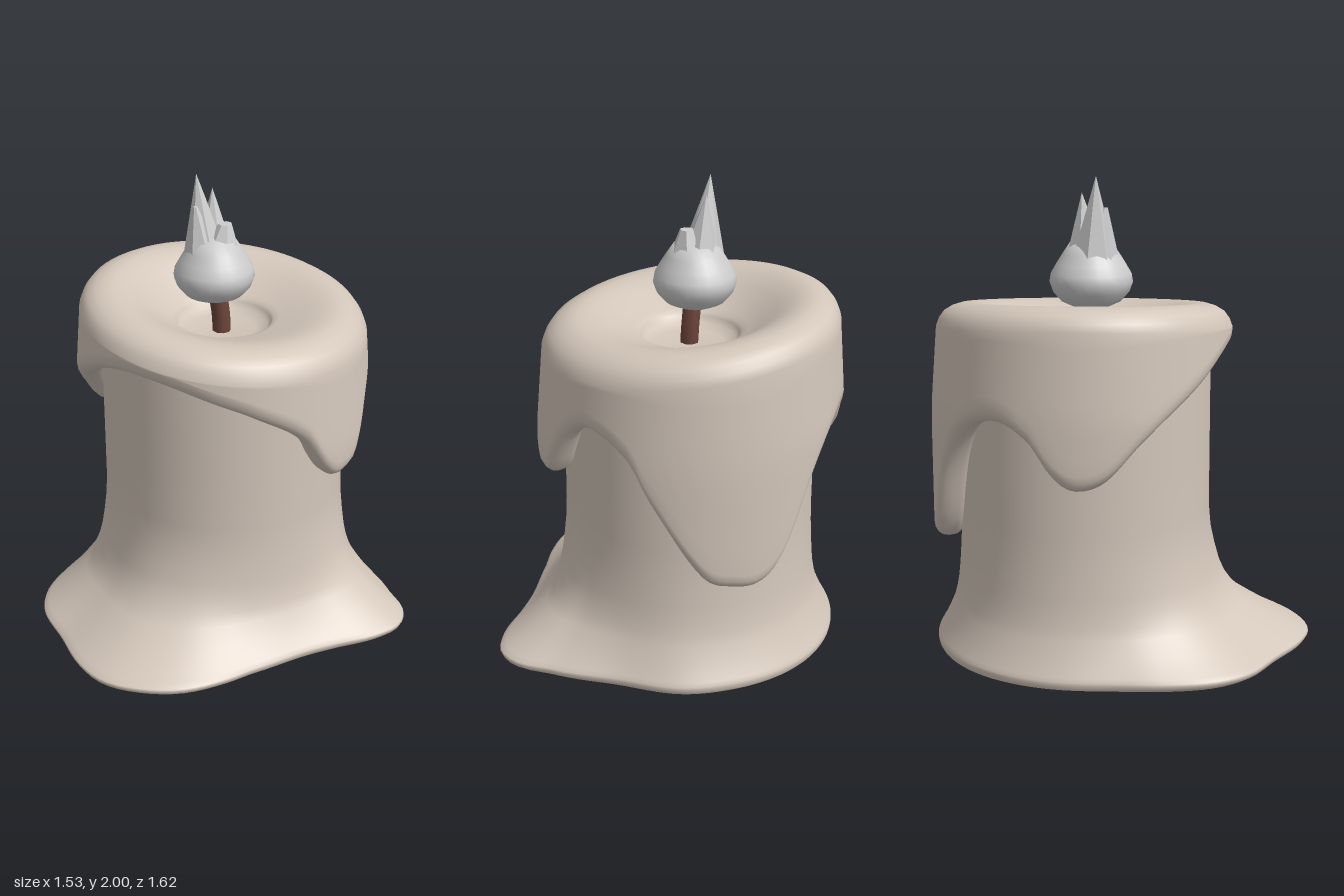
import * as THREE from 'three';

const CX = -0.12, CZ = -0.16; // candle axis
const SEG = 128;
const wax = new THREE.MeshStandardMaterial({ color: 0xd3c6ba, side: THREE.DoubleSide });
const wickMat = new THREE.MeshStandardMaterial({ color: 0x6b443a });
const flameMat = new THREE.MeshStandardMaterial({ color: 0xcccccc });
const flameFacets = new THREE.MeshStandardMaterial({ color: 0xcccccc, flatShading: true });

// Smooth periodic curve through [degrees, value] pairs (0 = +x, 90 = +z)
function around(keys) {
  const n = keys.length;
  const key = (i) => {
    const turn = Math.floor(i / n), k = keys[i - turn * n];
    return [k[0] + 360 * turn, k[1]];
  };
  const slope = (i) => {
    const a = key(i - 1), b = key(i + 1);
    return (b[1] - a[1]) / (b[0] - a[0]);
  };
  return (deg) => {
    let i = -1;
    while (key(i + 1)[0] <= deg) i++;
    const [d0, v0] = key(i), [d1, v1] = key(i + 1), w = d1 - d0, t = (deg - d0) / w;
    const t2 = t * t, t3 = t2 * t;
    return (2 * t3 - 3 * t2 + 1) * v0 + (t3 - 2 * t2 + t) * w * slope(i)
      + (3 * t2 - 2 * t3) * v1 + (t3 - t2) * w * slope(i + 1);
  };
}

// Closed loft about the candle axis; profile(deg) gives [radius, y] from top to bottom
function loft(profile) {
  const pos = [], idx = [];
  let rows = 0;
  for (let j = 0; j < SEG; j++) {
    const deg = (j / SEG) * 360, a = THREE.MathUtils.degToRad(deg);
    const points = profile(deg, a);
    rows = points.length;
    for (const [r, y] of points) pos.push(CX + r * Math.cos(a), y, CZ + r * Math.sin(a));
  }
  for (let j = 0; j < SEG; j++) {
    const next = (j + 1) % SEG;
    for (let i = 0; i < rows - 1; i++) {
      const a = j * rows + i, b = next * rows + i;
      idx.push(a, b, a + 1, b, b + 1, a + 1);
    }
  }
  const g = new THREE.BufferGeometry();
  g.setAttribute('position', new THREE.Float32BufferAttribute(pos, 3));
  g.setIndex(idx);
  g.computeVertexNormals();
  return g;
}

// Outline of the melted foot
const footRadius = around([
  [2, 0.84], [15, 0.745], [29, 0.71], [46, 0.75], [56, 0.815], [69, 0.91], [83, 0.965],
  [90, 0.97], [98, 0.94], [112, 0.875], [127, 0.865], [137, 0.83], [151, 0.743],
  [166, 0.67], [184, 0.645], [225, 0.64], [270, 0.645], [290, 0.66], [316, 0.665],
  [337, 0.78], [346, 0.866], [354, 0.885],
]);

// Height of the lower edge of the dripping wax
const dripEdge = around([
  [2, 0.8], [8, 0.8], [15, 0.87], [24, 1.02], [45, 1.16], [60, 1.225], [79, 1.285], [97, 1.3],
  [112, 1.27], [126, 1.2], [145, 1.08], [157, 0.98], [168, 0.86], [175, 0.82], [183, 0.82],
  [190, 0.88], [198, 1.0], [212, 1.07], [228, 1.01], [240, 0.85], [253, 0.56], [262, 0.47],
  [272, 0.47], [284, 0.52], [303, 0.83], [313, 1.01], [331, 1.1], [343, 1.03], [350, 0.92],
  [356, 0.82],
]);

function bodyProfile(deg) {
  const R = footRadius(deg);
  const flare = [
    [0, 1.34], [0, 1.1], [0, 0.85], [0, 0.6], [0.02, 0.5], [0.06, 0.42], [0.11, 0.34],
    [0.17, 0.28], [0.26, 0.225], [0.37, 0.18], [0.6, 0.12], [0.77, 0.08], [0.92, 0.05],
    [0.99, 0.035], [1, 0.025], [0.98, 0.01], [0.93, 0],
  ].map(([f, y]) => [0.53 + (R - 0.53) * f, y]);
  const last = flare[flare.length - 1];
  return [...flare, [...last], [0, 0]]; // doubled ring keeps the underside crisp
}

function capProfile(deg, a) {
  const e = dripEdge(deg);
  const tilt = (r) => -0.115 * r * Math.cos(a); // rim slopes down toward +x
  // pool, funnel and rounded rim
  const top = [
    [0, 1.3], [0.14, 1.305], [0.19, 1.32], [0.205, 1.345], [0.215, 1.358], [0.24, 1.37],
    [0.3, 1.398], [0.36, 1.432], [0.42, 1.458], [0.47, 1.469], [0.51, 1.468], [0.55, 1.456],
    [0.585, 1.435], [0.607, 1.405], [0.62, 1.37],
  ].map(([r, y]) => [r, y + tilt(r) * THREE.MathUtils.smoothstep(r, 0.15, 0.42)]);
  // outer wall down to the lip
  const y0 = top[top.length - 1][1], y1 = Math.min(e + 0.07, y0 - 0.005);
  const wall = [];
  for (let i = 1; i <= 8; i++) {
    const y = THREE.MathUtils.lerp(y0, y1, i / 8);
    wall.push([0.62 + 0.028 * Math.min(1, (y0 - y) / 0.35), y]);
  }
  const r = wall[7][0];
  // rolled lip tucked into the body
  const lip = [[r - 0.004, e + 0.04], [r - 0.016, e + 0.018], [r - 0.035, e + 0.004],
    [r - 0.06, e], [0.555, e + 0.006], [0.538, e + 0.018], [0.52, e + 0.045]];
  return [...top, ...wall, ...lip];
}

// Leaning cone: base centre, base radius, tip, tip radius
function tongue(base, radius, tip, tipRadius = 0) {
  const h = tip[1] - base[1];
  const g = new THREE.CylinderGeometry(tipRadius, radius, h, 7, 1);
  g.translate(0, h / 2, 0);
  const p = g.attributes.position;
  for (let i = 0; i < p.count; i++) {
    const t = p.getY(i) / h;
    p.setX(i, p.getX(i) + (tip[0] - base[0]) * t);
    p.setZ(i, p.getZ(i) + (tip[2] - base[2]) * t);
  }
  g.translate(...base);
  g.computeVertexNormals();
  return g;
}

export function createModel() {
  const model = new THREE.Group();
  model.name = 'candle';
  const add = (parent, name, geometry, material) => {
    const mesh = new THREE.Mesh(geometry, material);
    mesh.name = name;
    parent.add(mesh);
    return mesh;
  };

  add(model, 'candleBody', loft(bodyProfile), wax);
  add(model, 'meltedTop', loft(capProfile), wax);

  // Slightly bent wick
  const wickPath = new THREE.CatmullRomCurve3([
    new THREE.Vector3(-0.12, 1.28, -0.145),
    new THREE.Vector3(-0.125, 1.38, -0.145),
    new THREE.Vector3(-0.14, 1.5, -0.135),
  ]);
  add(model, 'wick', new THREE.TubeGeometry(wickPath, 6, 0.04, 8), wickMat);

  // Flame: round bulb with pointed tongues
  const flame = new THREE.Group();
  flame.name = 'flame';
  model.add(flame);
  const bulb = [[0, 1.45], [0.07, 1.455], [0.125, 1.48], [0.16, 1.52], [0.174, 1.56],
    [0.168, 1.595], [0.145, 1.635], [0.12, 1.675], [0.09, 1.72], [0, 1.75]]
    .map(([r, y]) => new THREE.Vector2(r, y));
  add(flame, 'flameBulb', new THREE.LatheGeometry(bulb, 24), flameMat).position.set(-0.148, 0, -0.13);
  const tongues = [
    [[-0.175, 1.6, -0.12], 0.11, [-0.22, 2.0, -0.105]],
    [[-0.155, 1.6, -0.15], 0.105, [-0.18, 1.93, -0.165]],
    [[-0.175, 1.6, -0.1], 0.1, [-0.2, 1.87, -0.068], 0.01],
    [[-0.13, 1.6, -0.13], 0.12, [-0.105, 1.79, -0.15], 0.03],
  ];
  for (const t of tongues) add(flame, 'flameTongue', tongue(...t), flameFacets);
  return model;
}
